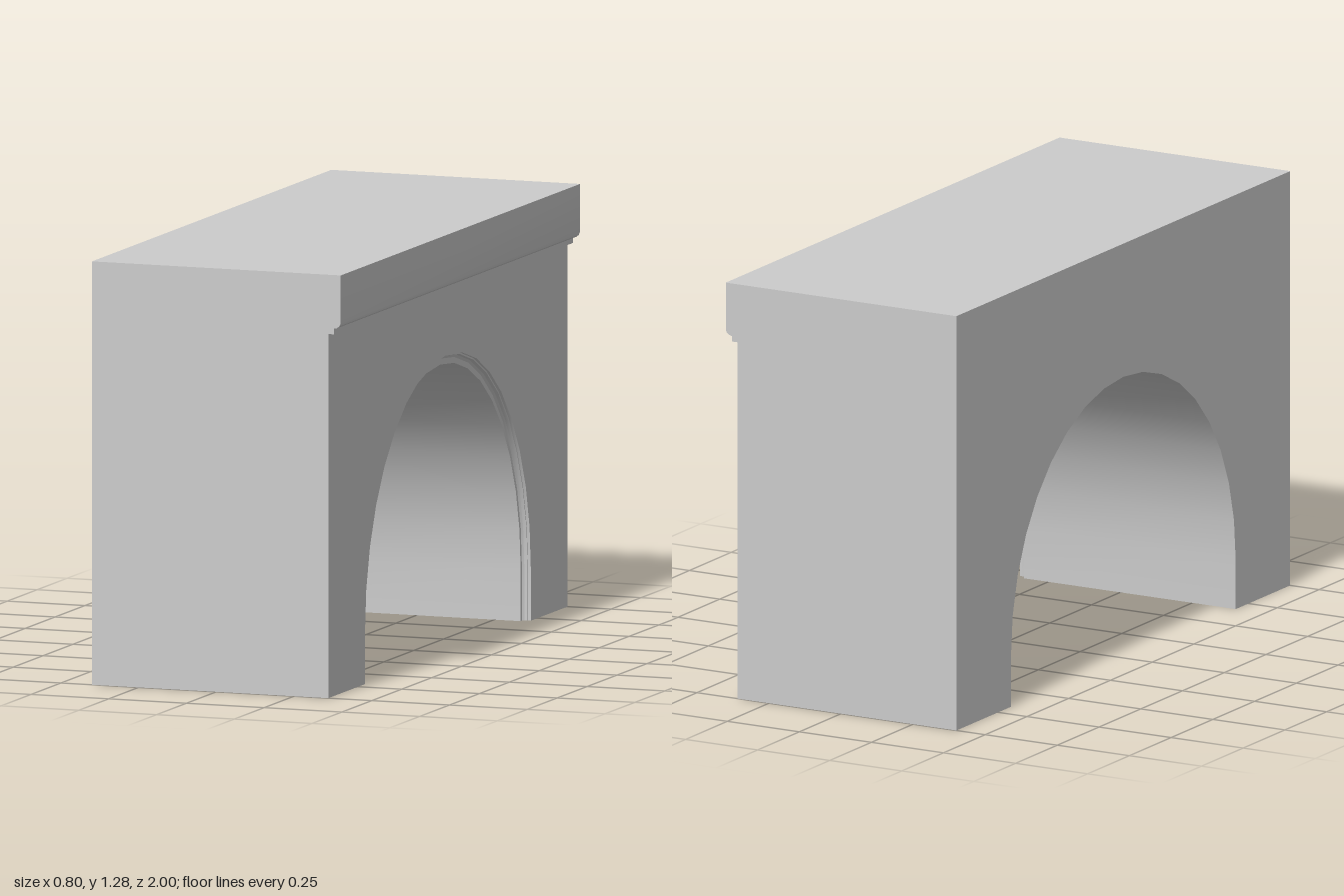
import * as THREE from 'three';
import { toCreasedNormals } from 'three/addons/utils/BufferGeometryUtils.js';

const HEIGHT = 1.285, BACK = -0.4, FACE = 0.36, LEDGE = 1.105;

// Moulded cornice: [x, y] from the wall face, out, up and over the top
const cornice = [
  [FACE, LEDGE], [0.378, LEDGE], [0.378, 1.122], [0.388, 1.124],
  [0.396, 1.13], [0.4, 1.14], [0.4, HEIGHT], [BACK, HEIGHT],
];

// Arch reveal: [x, t], where t runs from the inner (0) to the outer (1) arch line
const reveal = [
  [BACK, 0], [0.335, 0], [0.335, 0.55], [0.341, 0.78],
  [0.351, 0.85], [0.351, 1], [FACE, 1],
];

const archWidth = t => 0.673 + 0.02 * t;

// Stilted arch as [z, y] points, from the +z foot over the crown to the -z foot
function archPoints(t) {
  const w = archWidth(t), rise = 0.717 + 0.033 * t, spring = 0.155, points = [[w, 0]];
  for (let i = 0; i <= 18; i++) {
    const a = Math.PI * i / 18;
    points.push([w * Math.cos(a), spring + rise * Math.sin(a)]);
  }
  points.push([-w, 0]);
  return points;
}

// Skin between rows of points
function loft(rows) {
  const n = rows[0].length, index = [];
  for (let i = 0; i < rows.length - 1; i++) {
    for (let j = 0; j < n - 1; j++) {
      const a = i * n + j, b = a + 1, c = a + n, d = c + 1;
      index.push(a, b, c, b, d, c);
    }
  }
  const geometry = new THREE.BufferGeometry();
  geometry.setAttribute('position', new THREE.Float32BufferAttribute(rows.flat(2), 3));
  geometry.setIndex(index);
  return toCreasedNormals(geometry, 0.5);
}

const flat = points =>
  new THREE.ShapeGeometry(new THREE.Shape(points.map(p => new THREE.Vector2(...p))));

// Wall outline with the arch cut out of its foot
const wall = (top, t) => flat([[-1, 0], [-1, top], [1, top], [1, 0], ...archPoints(t)]);

export function createModel() {
  const group = new THREE.Group();
  group.name = 'archway';
  const material = new THREE.MeshStandardMaterial({ color: 0xcccccc });
  const add = (name, geometry) => {
    const mesh = new THREE.Mesh(geometry, material);
    mesh.name = name;
    group.add(mesh);
  };

  // Long walls
  add('mouldedWall', wall(LEDGE, 1).rotateY(Math.PI / 2).translate(FACE, 0, 0));
  add('plainWall', wall(HEIGHT, 0).rotateY(-Math.PI / 2).translate(BACK, 0, 0));

  // Cornice and flat top
  add('corniceAndTop', loft([-1, 1].map(z => cornice.map(([x, y]) => [x, y, z]))));

  // Underside of the arch with its stepped edge
  add('archReveal', loft(reveal.map(([x, t]) => archPoints(t).map(([z, y]) => [x, y, z]))));

  // End walls and pier feet
  const end = [[BACK, 0], [FACE, 0], ...cornice];
  for (const s of [1, -1]) {
    const endWall = flat(end.map(([x, y]) => [s * x, y])).translate(0, 0, 1);
    add(s > 0 ? 'frontEndWall' : 'backEndWall', s > 0 ? endWall : endWall.rotateY(Math.PI));

    const foot = [[FACE, s], [BACK, s], ...reveal.map(([x, t]) => [x, s * archWidth(t)])];
    add(s > 0 ? 'frontPierFoot' : 'backPierFoot', flat(foot).rotateX(Math.PI / 2));
  }
  return group;
}
